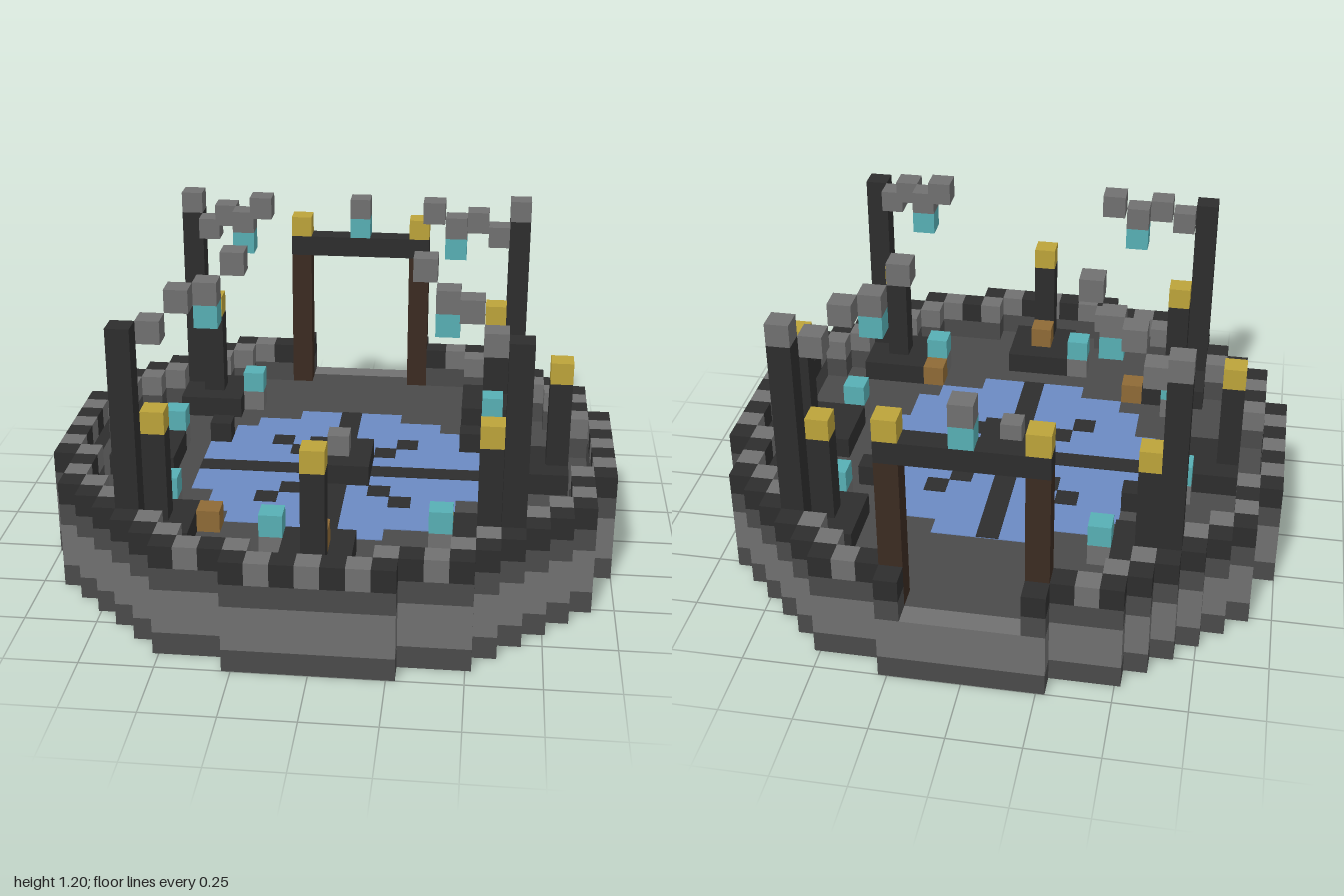
import * as THREE from 'three';
import { mergeGeometries } from 'three/addons/utils/BufferGeometryUtils.js';

const U = 0.08; // block size
const FLOOR = 3, OUTER = 158, INNER = 127, POOL = 42; // floor layer, squared radii in blocks

const mat = (name, color) => {
  const m = new THREE.MeshStandardMaterial({ color });
  m.name = name;
  return m;
};

// stepped outline of a block disc, as points in block units
function discPoints(r2) {
  const n = Math.floor(Math.sqrt(r2));
  const right = [], left = [];
  for (let j = -n; j <= n; j++) {
    const w = Math.floor(Math.sqrt(r2 - j * j)) + 0.5;
    for (const e of [-0.5, 0.5]) {
      right.push(new THREE.Vector2(w * U, (j + e) * U));
      left.unshift(new THREE.Vector2(-w * U, (j + e) * U));
    }
  }
  return [...right, ...left];
}

export function createModel() {
  const root = new THREE.Group();
  root.name = 'arena';
  const black = mat('blackStone', 0x2d2d2d);
  const dark = mat('darkStone', 0x4a4a4a);
  const grey = mat('greyStone', 0x707070);
  const blue = mat('waterBlue', 0x6b8ac2);
  const gold = mat('goldLight', 0xbca33a);
  const teal = mat('tealCrystal', 0x57afb4);
  const amber = mat('amberWood', 0x8e6a36);
  const brown = mat('darkWood', 0x3b2b21);

  const add = (name, geo, material) => {
    const m = new THREE.Mesh(geo, material);
    m.name = name;
    root.add(m);
  };
  const disc = (name, r2, y0, y1, material, holeR2) => {
    const shape = new THREE.Shape(discPoints(r2));
    if (holeR2) shape.holes.push(new THREE.Path(discPoints(holeR2)));
    const g = new THREE.ExtrudeGeometry(shape, { depth: y1 - y0, bevelEnabled: false });
    g.rotateX(-Math.PI / 2).translate(0, y0, 0);
    add(name, g, material);
  };
  // each entry: column x, layer y, column z, height in layers, width in columns
  const blocks = (name, list, material) => add(name, mergeGeometries(list.map(([x, y, z, h = 1, w = 1]) =>
    new THREE.BoxGeometry(w * U, h * U, w * U).translate(x * U, (y + h / 2) * U, z * U))), material);

  // round base and floor
  disc('baseCourse', OUTER, 0, U, dark);
  disc('wallCourse', OUTER, U, 3 * U, grey, INNER);
  disc('floor', INNER, U, 3 * U, dark);

  // pool with crossing paths and stepping stones
  disc('water', POOL, 3 * U, 3 * U + 0.003, blue);
  for (const [w, d] of [[13, 1], [1, 13]]) {
    add('poolPath', new THREE.BoxGeometry(w * U, 0.006, d * U).translate(0, 3 * U + 0.003, 0), black);
  }
  const corners = [[1, 1], [-1, 1], [1, -1], [-1, -1]];
  for (const [sx, sz] of corners) for (const k of [2, 3]) {
    add('steppingStone', new THREE.BoxGeometry(U, 0.006, U).translate(sx * k * U, 3 * U + 0.003, sz * k * U), black);
  }

  // parapet: dark lower ring and chequered top, open at the back gate
  const lower = [], topBlack = [], topGrey = [];
  for (let x = -12; x <= 12; x++) for (let z = -12; z <= 12; z++) {
    const d = x * x + z * z;
    if (d > OUTER || d <= INNER) continue;
    const gap = z === -12 && Math.abs(x) <= 2;
    const pillar = z === -11 && Math.abs(x) === 3;
    const post = Math.abs(x) === 8 && Math.abs(z) === 8;
    if (gap || pillar || post) continue;
    lower.push([x, FLOOR, z]);
    ((x + z) % 2 === 0 ? topGrey : topBlack).push([x, FLOOR + 1, z]);
  }
  blocks('parapetRing', lower, dark);
  blocks('parapetBlackBlocks', topBlack, black);
  blocks('parapetGreyBlocks', topGrey, grey);

  // centre pedestal
  blocks('centrePlinth', [[0, FLOOR, 0, 1, 3]], black);
  blocks('centreStone', [[0, FLOOR + 1, 0]], grey);

  // corner posts with floating arms, crystals and torches
  for (const [sx, sz] of corners) {
    const at = (k, y, h, w) => [sx * k, y, sz * k, h, w];
    blocks('cornerPlinth', [at(7, 3, 1, 3)], black);
    blocks('cornerPost', [at(8, 4, 9)], black);
    if (sz < 0) blocks('cornerPostCap', [at(8, 13)], grey);
    blocks('torchPost', [at(7, 4, 4)], black);
    blocks('torchLight', [at(7, 8)], gold);
    blocks('floatingArm', [at(7, 12), at(6, 13), at(5, 13), at(4, 14)], grey);
    blocks('hangingCrystal', [at(5, 12)], teal);
  }

  // torches on the side and front plinths
  for (const [x, z] of [[1, 0], [-1, 0], [0, 1]]) {
    blocks('sidePlinth', [[x * 9, 3, z * 9, 1, 3]], black);
    blocks('sideTorchPost', [[x * 10, 4, z * 10, 4]], black);
    blocks('sideTorchLight', [[x * 10, 8, z * 10]], gold);
  }

  // back gate
  blocks('gatePillars', [[-3, 3, -11, 7], [3, 3, -11, 7]], brown);
  add('gateLintel', new THREE.BoxGeometry(7 * U, U, U).translate(0, 10.5 * U, -11 * U), black);
  blocks('gateLights', [[-3, 11, -11], [3, 11, -11]], gold);
  blocks('gateCrystal', [[0, 11, -11]], teal);
  blocks('gateCrown', [[0, 12, -11]], grey);

  // crystals on small stones around the pool
  const spots = [[-5, -7], [-8, -2], [-7, 5], [-2, 8], [5, 7], [8, 2], [7, -5]];
  blocks('crystalStones', spots.map(([x, z]) => [x, 3, z]), grey);
  blocks('crystals', spots.map(([x, z]) => [x, 4, z]), teal);

  // loose blocks
  blocks('amberBlocks', [[-5, 3, 6], [5, 3, 6], [0, 4, 9]], amber);
  blocks('blackBlocks', [[-6, 3, -3], [6, 3, -3]], black);

  return root;
}
